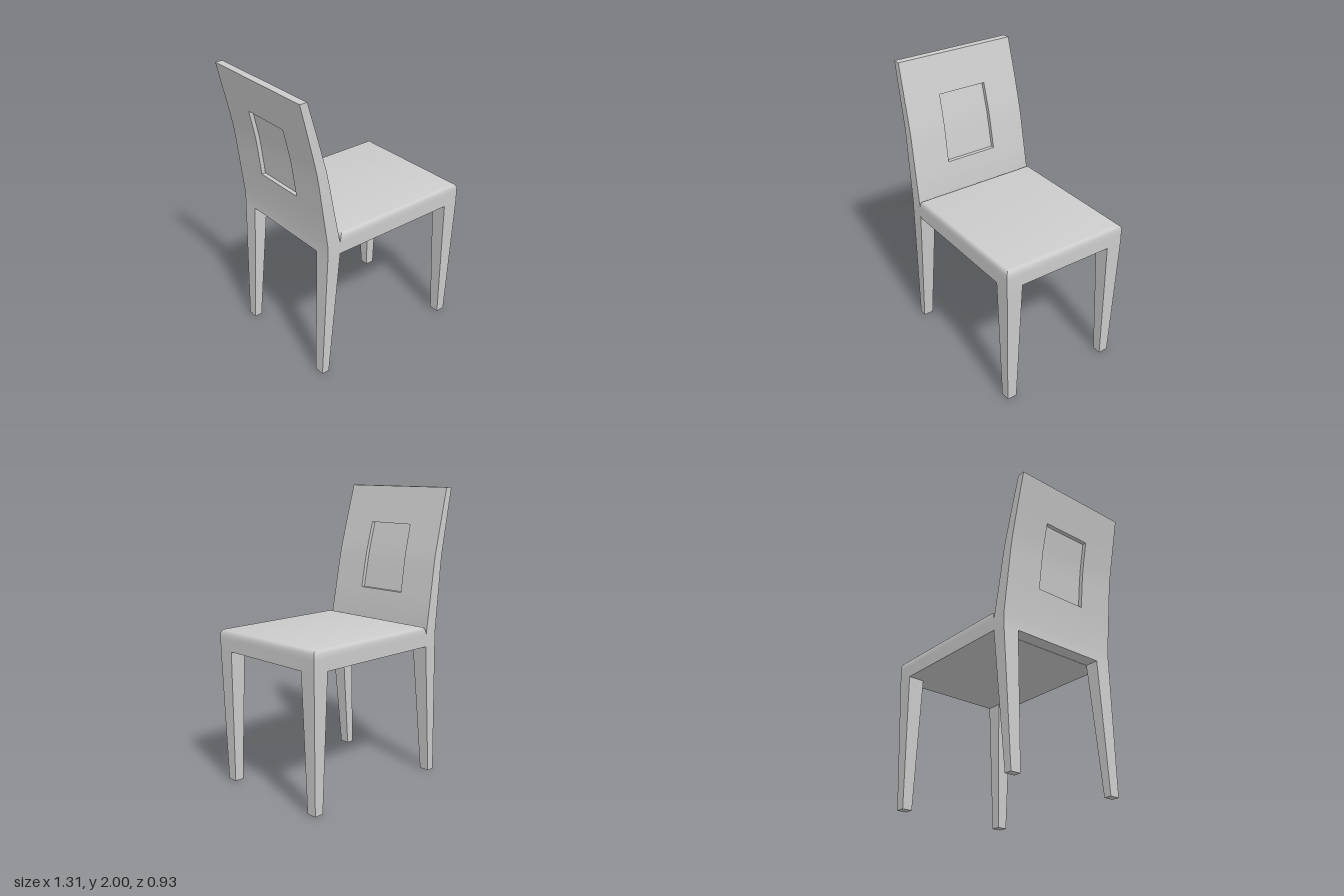
import * as THREE from 'three';
import { toCreasedNormals } from 'three/addons/utils/BufferGeometryUtils.js';

const material = new THREE.MeshStandardMaterial({ color: 0xcccccc });

// Collects quads as triangles; corners run counter-clockwise seen from outside.
function quadBuilder() {
  const pos = [];
  return {
    add(a, b, c, d, flip = false) {
      const q = flip ? [d, c, b, a] : [a, b, c, d];
      for (const i of [0, 1, 2, 0, 2, 3]) pos.push(...q[i]);
    },
    mesh(name) {
      const geo = new THREE.BufferGeometry();
      geo.setAttribute('position', new THREE.Float32BufferAttribute(pos, 3));
      const mesh = new THREE.Mesh(toCreasedNormals(geo, 0.6), material);
      mesh.name = name;
      return mesh;
    },
  };
}

// Stacks rectangles [y, x0, x1, z0, z1] into a closed solid.
function loft(name, sections) {
  const q = quadBuilder();
  const rings = sections.map(([y, x0, x1, z0, z1]) =>
    [[x0, y, z0], [x0, y, z1], [x1, y, z1], [x1, y, z0]]);
  for (let j = 0; j < rings.length - 1; j++) {
    for (let i = 0; i < 4; i++) {
      const n = (i + 1) % 4;
      q.add(rings[j][i], rings[j][n], rings[j + 1][n], rings[j + 1][i]);
    }
  }
  q.add(...rings[0], true);
  q.add(...rings[rings.length - 1]);
  return q.mesh(name);
}

// Bent backrest with a shallow rectangular recess on both faces.
function backrest() {
  const q = quadBuilder();
  // [y, front x, rear x, half width]
  const rows = [
    [0.93, -0.395, -0.49, 0.463],
    [1.01, -0.392, -0.488, 0.463],
    [1.27, -0.437, -0.52, 0.457],
    [1.45, -0.467, -0.542, 0.453],
    [1.54, -0.484, -0.555, 0.45],
    [1.63, -0.507, -0.574, 0.448],
    [1.74, -0.535, -0.598, 0.446],
    [2.0, -0.604, -0.657, 0.439],
  ];
  const first = 2, last = 6, depth = 0.028;
  const point = (j, k, rear, recess = 0) => {
    const [y, front, back, w] = rows[j];
    const v = 0.19 - 0.021 * (y - 1.27);
    return [rear ? back + recess : front - recess, y, [-w, -v, v, w][k]];
  };

  for (const rear of [false, true]) {
    const p = (j, k, r) => point(j, k, rear, r);
    for (let j = 0; j < rows.length - 1; j++) {
      const inWindow = j >= first && j < last;
      // broad faces
      for (let k = 0; k < 3; k++) {
        const r = inWindow && k === 1 ? depth : 0;
        q.add(p(j, k + 1, r), p(j, k, r), p(j + 1, k, r), p(j + 1, k + 1, r), rear);
      }
      // upright walls of the recess
      if (inWindow) for (const k of [1, 2]) {
        q.add(p(j, k, depth), p(j, k), p(j + 1, k), p(j + 1, k, depth), rear !== (k === 2));
      }
    }
    // sill and head of the recess
    for (const j of [first, last]) {
      q.add(p(j, 1, depth), p(j, 2, depth), p(j, 2), p(j, 1), rear !== (j === last));
    }
  }

  // outer edges
  const top = rows.length - 1;
  for (let j = 0; j < top; j++) for (const k of [0, 3]) {
    q.add(point(j, k, true), point(j, k, false), point(j + 1, k, false), point(j + 1, k, true), k === 0);
  }
  for (const j of [0, top]) {
    q.add(point(j, 0, true), point(j, 3, true), point(j, 3, false), point(j, 0, false), j === 0);
  }
  return q.mesh('backrest');
}

export function createModel() {
  const chair = new THREE.Group();
  chair.name = 'chair';

  // seat with a softly rounded upper edge: [y, rear x, front x, half width]
  chair.add(loft('seat', [
    [0.93, -0.392, 0.653, 0.463],
    [1.01, -0.392, 0.653, 0.463],
    [1.045, -0.386, 0.652, 0.463],
    [1.06, -0.378, 0.645, 0.457],
    [1.068, -0.368, 0.636, 0.448],
    [1.072, -0.35, 0.622, 0.435],
  ].map(([y, x0, x1, w]) => [y, x0, x1, -w, w])));

  chair.add(backrest());

  // tapered legs, mirrored left and right
  for (const [side, s] of [['Left', 1], ['Right', -1]]) {
    const span = (a, b) => (s > 0 ? [a, b] : [-b, -a]);
    chair.add(loft('frontLeg' + side, [
      [0, 0.565, 0.63, ...span(0.37, 0.441)],
      [0.93, 0.54, 0.653, ...span(0.347, 0.463)],
    ]));
    chair.add(loft('rearLeg' + side, [
      [0, -0.53, -0.475, ...span(0.37, 0.441)],
      [0.93, -0.49, -0.392, ...span(0.347, 0.463)],
    ]));
  }
  return chair;
}
